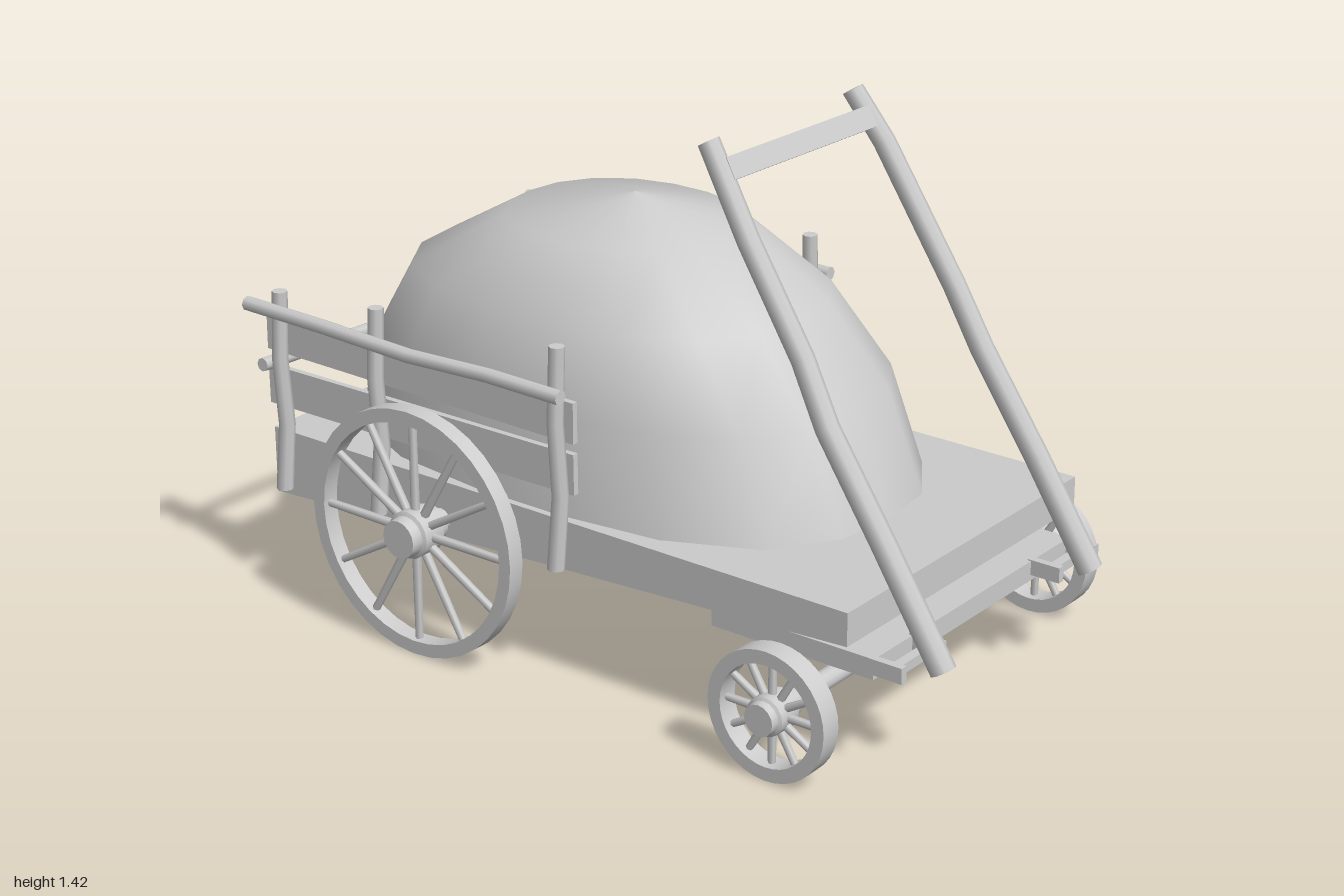
import * as THREE from 'three';
import { toCreasedNormals } from 'three/addons/utils/BufferGeometryUtils.js';

const material = new THREE.MeshStandardMaterial({ color: 0xcccccc });
const V = (p) => new THREE.Vector3(...p);

function add(parent, name, geometry, x = 0, y = 0, z = 0) {
  const mesh = new THREE.Mesh(geometry, material);
  mesh.name = name;
  mesh.position.set(x, y, z);
  parent.add(mesh);
  return mesh;
}

function box(parent, name, w, h, d, x, y, z) {
  return add(parent, name, new THREE.BoxGeometry(w, h, d), x, y, z);
}

// Crooked round pole: a capped cylinder whose rings follow the given points
function pole(parent, name, points, r0, r1 = r0, sides = 8) {
  const pts = points.map(V), n = pts.length - 1;
  const geo = new THREE.CylinderGeometry(r1, r0, 1, sides, n);
  const dir = pts[n].clone().sub(pts[0]).normalize();
  const q = new THREE.Quaternion().setFromUnitVectors(new THREE.Vector3(0, 1, 0), dir);
  const pos = geo.attributes.position, nor = geo.attributes.normal;
  const v = new THREE.Vector3();
  for (let i = 0; i < pos.count; i++) {
    const ring = Math.round((pos.getY(i) + 0.5) * n);
    v.set(pos.getX(i), 0, pos.getZ(i)).applyQuaternion(q).add(pts[ring]);
    pos.setXYZ(i, v.x, v.y, v.z);
    v.fromBufferAttribute(nor, i).applyQuaternion(q);
    nor.setXYZ(i, v.x, v.y, v.z);
  }
  return add(parent, name, geo);
}

// Lathe turned around the z axis from [radius, z] pairs
function turned(profile, segments) {
  const geo = new THREE.LatheGeometry(profile.map(([r, z]) => new THREE.Vector2(r, z)), segments);
  return toCreasedNormals(geo.rotateX(Math.PI / 2), 0.6);
}

// Spoked wheel with rim, hub and axle stub; side is +1 or -1 along z
function wheel(parent, name, o, side) {
  const g = new THREE.Group();
  g.name = name;
  g.position.set(o.x, o.r + 0.01, side * o.z);
  if (side < 0) g.rotation.y = Math.PI;
  const t = o.width / 2, ri = o.inner;
  add(g, 'rim', turned([[ri, -t], [o.r, -t], [o.r, t], [ri, t], [ri, -t]], 36));
  const h = o.hub;
  add(g, 'hub', turned([[0, -0.07], [h * 0.7, -0.07], [h * 0.75, -0.04], [h, -0.035], [h, 0.03],
    [h * 0.85, 0.035], [h * 0.8, o.cap], [0, o.cap]], 16));
  for (let i = 0; i < 12; i++) {
    const spoke = new THREE.CylinderGeometry(o.spoke * 0.85, o.spoke, ri - h * 0.8 + 0.01, 6);
    spoke.translate(0, (ri + h * 0.8) / 2, 0).rotateZ((i * Math.PI) / 6);
    add(g, 'spoke', spoke);
  }
  parent.add(g);
}

// Rounded heap: superellipse rings joined up to an apex
function heapGeometry() {
  const rings = [ // y, back x, front x, half width, roundness
    [0.42, -0.95, 0.605, 0.475, 2.7],
    [0.69, -0.9, 0.5, 0.455, 2.6],
    [0.89, -0.79, 0.33, 0.4, 2.4],
    [1.045, -0.52, 0.1, 0.265, 2.2],
    [1.11, -0.181, -0.179, 0.001, 2],
  ];
  const sides = 18, position = [], index = [];
  rings.forEach(([y, x0, x1, w, e], k) => {
    for (let i = 0; i < sides; i++) {
      const a = (i / sides) * Math.PI * 2, c = Math.cos(a), s = Math.sin(a);
      const m = Math.pow(Math.abs(c) ** e + Math.abs(s) ** e, -1 / e);
      position.push((x0 + x1) / 2 + (c * m * (x1 - x0)) / 2, y, s * m * w);
      if (k === rings.length - 1) continue;
      const p = k * sides + i, q = k * sides + ((i + 1) % sides);
      index.push(p, p + sides, q, q, p + sides, q + sides);
    }
  });
  const geo = new THREE.BufferGeometry();
  geo.setAttribute('position', new THREE.Float32BufferAttribute(position, 3));
  geo.setIndex(index);
  geo.computeVertexNormals();
  return geo;
}

export function createModel() {
  const cart = new THREE.Group();
  cart.name = 'handcart';

  // Wedge-shaped bed, deeper at the rear
  const side = new THREE.Shape([[-0.98, 0.26], [0.82, 0.355], [0.82, 0.44], [-0.98, 0.44]]
    .map(([x, y]) => new THREE.Vector2(x, y)));
  add(cart, 'bed', new THREE.ExtrudeGeometry(side, { depth: 0.98, bevelEnabled: false }), 0, 0, -0.49);

  add(cart, 'heap', heapGeometry());

  // Front carriage
  box(cart, 'carriagePlate', 0.465, 0.052, 0.85, 0.617, 0.281, 0);
  pole(cart, 'frontAxle', [[0.67, 0.175, -0.56], [0.67, 0.175, 0.56]], 0.025, 0.025, 12);
  pole(cart, 'rearAxle', [[-0.41, 0.335, -0.56], [-0.41, 0.335, 0.56]], 0.03, 0.03, 12);

  const big = { x: -0.41, z: 0.583, r: 0.325, inner: 0.29, width: 0.046, hub: 0.062, cap: 0.065, spoke: 0.012 };
  const small = { x: 0.67, z: 0.568, r: 0.165, inner: 0.13, width: 0.058, hub: 0.05, cap: 0.055, spoke: 0.011 };

  for (const s of [1, -1]) {
    wheel(cart, 'rearWheel', big, s);
    wheel(cart, 'frontWheel', small, s);
    box(cart, 'axleHanger', 0.05, 0.17, 0.038, 0.67, 0.27, s * 0.257);

    // Shaft bracket: two cheeks and a pin
    for (const z of [0.257, 0.42]) box(cart, 'bracketCheek', 0.09, 0.04, 0.02, 0.885, 0.29, s * z);
    box(cart, 'bracketPin', 0.025, 0.025, 0.17, 0.9, 0.29, s * 0.34);

    // Side planks
    for (const [y, tilt] of [[0.705, -0.008], [0.565, 0.008]]) {
      box(cart, 'sidePlank', 1.01, 0.105, 0.016, -0.48, y, s * 0.487).rotation.z = tilt;
    }

    // Crooked side posts: x, bottom and top
    for (const [x, y0, y1] of [[-0.92, 0.29, 0.83], [-0.59, 0.31, 0.86], [-0.01, 0.32, 0.895]]) {
      const h = y1 - y0;
      pole(cart, 'sidePost', [[x - 0.008, y0, s * 0.515], [x + 0.004, y0 + h / 3, s * 0.508],
        [x - 0.002, y0 + (2 * h) / 3, s * 0.516], [x, y1, s * 0.508]], 0.022, 0.02);
    }

    // Top side rail
    pole(cart, 'sideRail', [[-1, 0.79, s * 0.545], [-0.75, 0.783, s * 0.538], [-0.45, 0.777, s * 0.545],
      [-0.2, 0.785, s * 0.54], [0.03, 0.785, s * 0.545]], 0.019);
  }

  // Rail across the rear
  pole(cart, 'rearRail', [[-0.965, 0.58, -0.51], [-0.955, 0.595, -0.15], [-0.968, 0.61, 0.2],
    [-0.962, 0.63, 0.54]], 0.018);

  // Crooked pull shafts and their crossbar
  pole(cart, 'leftShaft', [[0.975, 0.275, 0.325], [0.81, 0.55, 0.335], [0.655, 0.8, 0.345],
    [0.58, 0.95, 0.34], [0.42, 1.2, 0.335], [0.305, 1.415, 0.335]], 0.032, 0.027);
  pole(cart, 'rightShaft', [[0.965, 0.285, -0.335], [0.81, 0.55, -0.318], [0.655, 0.8, -0.3],
    [0.58, 0.95, -0.285], [0.38, 1.28, -0.265], [0.305, 1.405, -0.235]], 0.032, 0.027);
  const bar = box(cart, 'handleBar', 0.028, 0.055, 0.58, 0.352, 1.348, 0.04);
  bar.rotation.set(-0.02, 0, 0.5);

  return cart;
}
